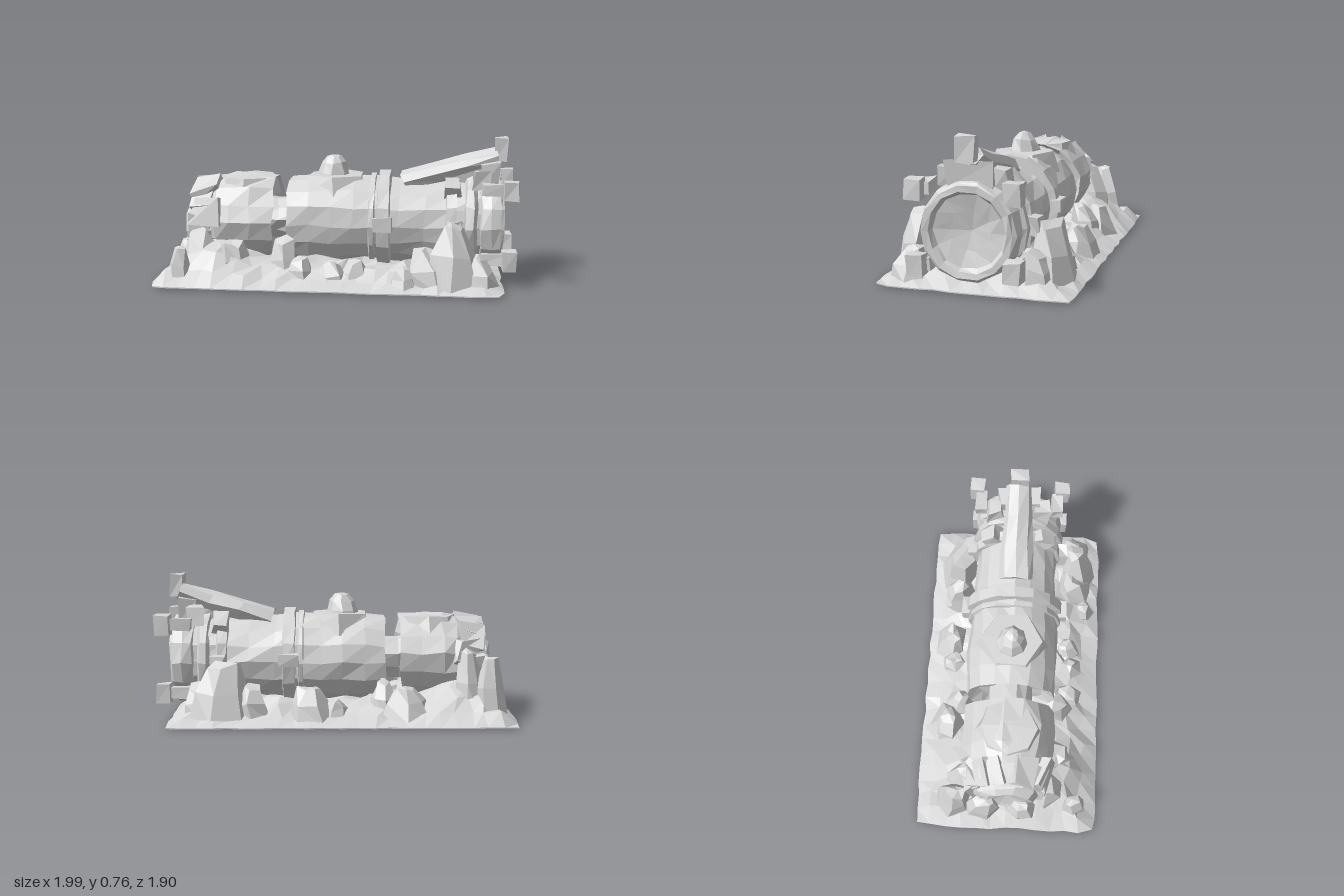
import * as THREE from 'three';

const stone = new THREE.MeshStandardMaterial({ color: 0xd8d8d8 });
stone.name = 'pale grey';

const AXIS_Y = 0.295; // height of the tank axis

// Repeatable noise in -1..1, equal for equal positions
function noise(x, y, z, seed) {
  const r = (n) => Math.round(n * 500);
  const s = Math.sin(r(x) * 12.9898 + r(y) * 78.233 + r(z) * 37.719 + seed * 4.137) * 43758.5453;
  return (s - Math.floor(s)) * 2 - 1;
}

// Move vertices irregularly, then give every face its own flat normal
function chisel(geometry, amount, seed = 1) {
  const p = geometry.attributes.position;
  for (let i = 0; i < p.count; i++) {
    const x = p.getX(i), y = p.getY(i), z = p.getZ(i);
    p.setXYZ(i, x + amount * noise(x, y, z, seed), y + amount * noise(x, y, z, seed + 7),
      z + amount * noise(x, y, z, seed + 13));
  }
  const flat = geometry.index ? geometry.toNonIndexed() : geometry;
  flat.computeVertexNormals();
  return flat;
}

export function createModel() {
  const model = new THREE.Group();
  model.name = 'wreckedTank';
  const body = new THREE.Group();
  body.name = 'diagonalBody';
  body.rotation.y = 0.707;
  model.add(body);

  const add = (name, geometry, x = 0, y = 0, z = 0) => {
    const mesh = new THREE.Mesh(geometry, stone);
    mesh.name = name;
    mesh.position.set(x, y, z);
    body.add(mesh);
    return mesh;
  };

  const box = (name, w, h, d, x, y, z, seed, rough = 0.006) =>
    add(name, chisel(new THREE.BoxGeometry(w, h, d), rough, seed), x, y, z);

  // Revolved part lying along x; profile is [x, radius]
  const turned = (name, profile, sides, rough, seed) => {
    const g = new THREE.LatheGeometry(profile.map(([x, r]) => new THREE.Vector2(r, x)), sides);
    g.rotateZ(-Math.PI / 2);
    return add(name, chisel(g, rough, seed), 0, AXIS_Y, 0);
  };

  // Box sitting on the tank at an angle around its axis (0 = top, positive towards +z)
  const clip = (name, x, radius, angle, w, h, d, seed, rough) => {
    const mesh = box(name, w, h, d, x, AXIS_Y + Math.cos(angle) * radius, Math.sin(angle) * radius, seed, rough);
    mesh.rotation.x = angle;
    return mesh;
  };

  // Ground slab: thin at the rim, heaped along the tank and highest at the torn end
  const ground = new THREE.BoxGeometry(1.82, 0.01, 0.99, 22, 1, 12);
  const gp = ground.attributes.position;
  for (let i = 0; i < gp.count; i++) {
    const x = gp.getX(i), z = gp.getZ(i);
    const edge = Math.min(0.91 - Math.abs(x), 0.495 - Math.abs(z));
    const rise = THREE.MathUtils.smoothstep(edge, -0.03, 0.25);
    const heap = 0.095 + 0.09 * THREE.MathUtils.smoothstep(-x, 0.3, 0.6) + 0.03 * noise(x, 0, z, 5);
    const corner = Math.max(0, Math.abs(x) / 0.91 + Math.abs(z) / 0.495 - 1.9) * 0.2;
    const wob = edge < 0.01 ? 0.007 : 0.022;
    const top = gp.getY(i) > 0;
    gp.setXYZ(i, x * (1 - corner) + wob * noise(x, 0, z, 3),
      top ? 0.006 + (edge < 0.01 ? 0 : rise * heap) : 0,
      z * (1 - corner) + wob * noise(x, 0, z, 9));
  }
  add('rockyGround', chisel(ground, 0));

  // Main tank section, with a broken near end
  turned('mainTank', [[-0.17, 0], [-0.19, 0.18], [-0.23, 0.235], [-0.12, 0.248], [0, 0.25], [0.12, 0.248],
    [0.24, 0.24], [0.36, 0.228], [0.5, 0.225], [0.64, 0.225], [0.8, 0.22], [0.82, 0]], 16, 0.009, 2);
  // Rear tank section, broken at both ends
  turned('rearTank', [[-0.66, 0], [-0.68, 0.18], [-0.62, 0.225], [-0.54, 0.24], [-0.43, 0.245], [-0.31, 0.235],
    [-0.34, 0.19], [-0.36, 0]], 15, 0.011, 4);
  // Torn inner pipe bridging the gap
  turned('innerPipe', [[-0.4, 0.12], [-0.3, 0.11], [-0.15, 0.12]], 9, 0.015, 6);

  // Double strap around the middle
  turned('strapNarrow', [[0.205, 0.235], [0.21, 0.258], [0.235, 0.258], [0.24, 0.235]], 16, 0.003, 8);
  turned('strapWide', [[0.25, 0.225], [0.255, 0.275], [0.315, 0.275], [0.32, 0.22]], 16, 0.004, 9);
  for (const a of [-1.5, 1.5]) clip('strapClip', 0.285, 0.27, a, 0.1, 0.05, 0.07, 3 + a);

  // Flanges near the mouth
  turned('innerFlange', [[0.61, 0.22], [0.615, 0.245], [0.665, 0.25], [0.67, 0.22]], 14, 0.006, 11);
  turned('middleFlange', [[0.71, 0.22], [0.72, 0.255], [0.76, 0.255], [0.78, 0.22]], 14, 0.008, 12);
  // Mouth ring with a hollow dish
  turned('mouthRing', [[0.79, 0.2], [0.8, 0.24], [0.85, 0.248], [0.9, 0.24], [0.915, 0.225], [0.915, 0.195],
    [0.885, 0.18], [0.865, 0.1], [0.85, 0]], 14, 0.005, 14);
  for (const a of [-1.6, -0.62, 0.62, 1.6]) clip('flangeClip', 0.65, 0.25, a, 0.08, 0.07, 0.09, 5 + a, 0.012);

  // Square lugs around the mouth, each on a short arm
  for (const side of [-1, 1]) {
    for (const y of [0.5, 0.135]) {
      box('mouthLug', 0.075, 0.1, 0.08, 0.945, y, side * 0.24, y * 10 + side);
      box('lugArm', 0.12, 0.06, 0.06, 0.86, y, side * 0.215, y * 9 + side);
    }
    box('topBracket', 0.08, 0.09, 0.08, 0.79, 0.54, side * 0.13, side, 0.014);
  }
  box('topLug', 0.065, 0.12, 0.1, 0.9, 0.69, 0, 21);
  box('lugSaddle', 0.09, 0.13, 0.22, 0.845, 0.56, 0, 22, 0.015);

  // Sloping rounded spine leaning from the tank up to the top lug
  const spine = new THREE.CylinderGeometry(0.07, 0.095, 0.52, 8, 3);
  spine.scale(0.7, 1, 1);
  spine.rotateZ(-Math.PI / 2 + 0.29);
  add('slopingSpine', chisel(spine, 0.008, 23), 0.635, 0.58, 0);
  // Rubble wedge filling the space under the raised end
  box('spineSupport', 0.2, 0.12, 0.1, 0.75, 0.54, 0, 24, 0.015);

  // Hatches on top, the front one with a knob
  const hatch = (name, x, radius, top, sides) => {
    const g = new THREE.CylinderGeometry(radius * 0.82, radius, 0.1, sides);
    add(name, chisel(g, 0.008, 25), x, top - 0.05, 0);
  };
  hatch('frontHatch', 0.015, 0.2, 0.54, 6);
  hatch('rearHatch', -0.47, 0.18, 0.53, 8);
  const knob = new THREE.LatheGeometry([[0.095, 0.5], [0.085, 0.55], [0.065, 0.605], [0.035, 0.642], [0, 0.648]]
    .map(([r, y]) => new THREE.Vector2(r, y)), 8);
  add('hatchKnob', chisel(knob, 0.006, 27));

  // Torn end of the rear section: nozzle and ragged plates
  turned('endNozzle', [[-0.77, 0], [-0.79, 0.1], [-0.8, 0.145], [-0.77, 0.175], [-0.7, 0.2], [-0.64, 0.21]],
    10, 0.01, 29).position.y = 0.24;
  for (let i = 0; i < 9; i++) {
    const angle = -1.75 + i * 0.44;
    const n = noise(i, 1, 2, 31);
    const plate = clip('tornPlate', -0.68 + n * 0.03, 0.195 + 0.015 * n, angle, 0.15 + 0.04 * n, 0.06, 0.14,
      33 + i, 0.022);
    plate.rotation.z = 0.4 + 0.2 * n;
  }

  // Faceted rocks: [x, z, radius x, radius z, height, tip scale]
  const rocks = [
    [0.65, 0.38, 0.14, 0.1, 0.33, 0.4], [0.53, 0.35, 0.13, 0.1, 0.19, 0.5], [0.78, 0.34, 0.1, 0.1, 0.17, 0.5],
    [0.62, -0.35, 0.17, 0.11, 0.31, 0.5], [0.48, -0.34, 0.1, 0.09, 0.18, 0.5], [0.75, -0.3, 0.11, 0.11, 0.18, 0.5],
    [0.17, -0.37, 0.12, 0.09, 0.18, 0.45], [0.04, -0.35, 0.08, 0.08, 0.12, 0.5],
    [-0.33, -0.36, 0.13, 0.09, 0.18, 0.45], [-0.22, -0.3, 0.08, 0.08, 0.2, 0.5],
    [-0.78, -0.3, 0.08, 0.1, 0.33, 0.55], [-0.67, -0.26, 0.08, 0.09, 0.36, 0.5],
    [-0.8, -0.14, 0.07, 0.11, 0.24, 0.5], [-0.8, 0.1, 0.07, 0.1, 0.17, 0.5],
    [-0.7, 0.24, 0.11, 0.1, 0.25, 0.5], [-0.77, 0.38, 0.07, 0.07, 0.18, 0.5],
    [-0.53, 0.29, 0.12, 0.1, 0.19, 0.5], [-0.23, 0.28, 0.09, 0.08, 0.22, 0.6],
    [-0.14, 0.33, 0.08, 0.08, 0.13, 0.6], [0.03, 0.33, 0.09, 0.08, 0.11, 0.5],
    [0.14, 0.32, 0.08, 0.07, 0.12, 0.5], [0.4, 0.41, 0.07, 0.06, 0.11, 0.5],
  ];
  rocks.forEach(([x, z, rx, rz, h, tip], i) => {
    const g = new THREE.LatheGeometry([[1.05, 0], [0.85, 0.5], [tip, 0.93], [0, 1]]
      .map(([r, y]) => new THREE.Vector2(r, y)), 6);
    g.rotateY(i * 1.3);
    g.scale(rx, h, rz);
    const p = g.attributes.position;
    for (let k = 0; k < p.count; k++) { // lean towards the tank
      p.setZ(k, p.getZ(k) - Math.sign(z) * p.getY(k) * 0.12);
    }
    add('rock', chisel(g, Math.min(rx, rz) * 0.18, 40 + i), x, 0.012, z);
  });

  return model;
}
